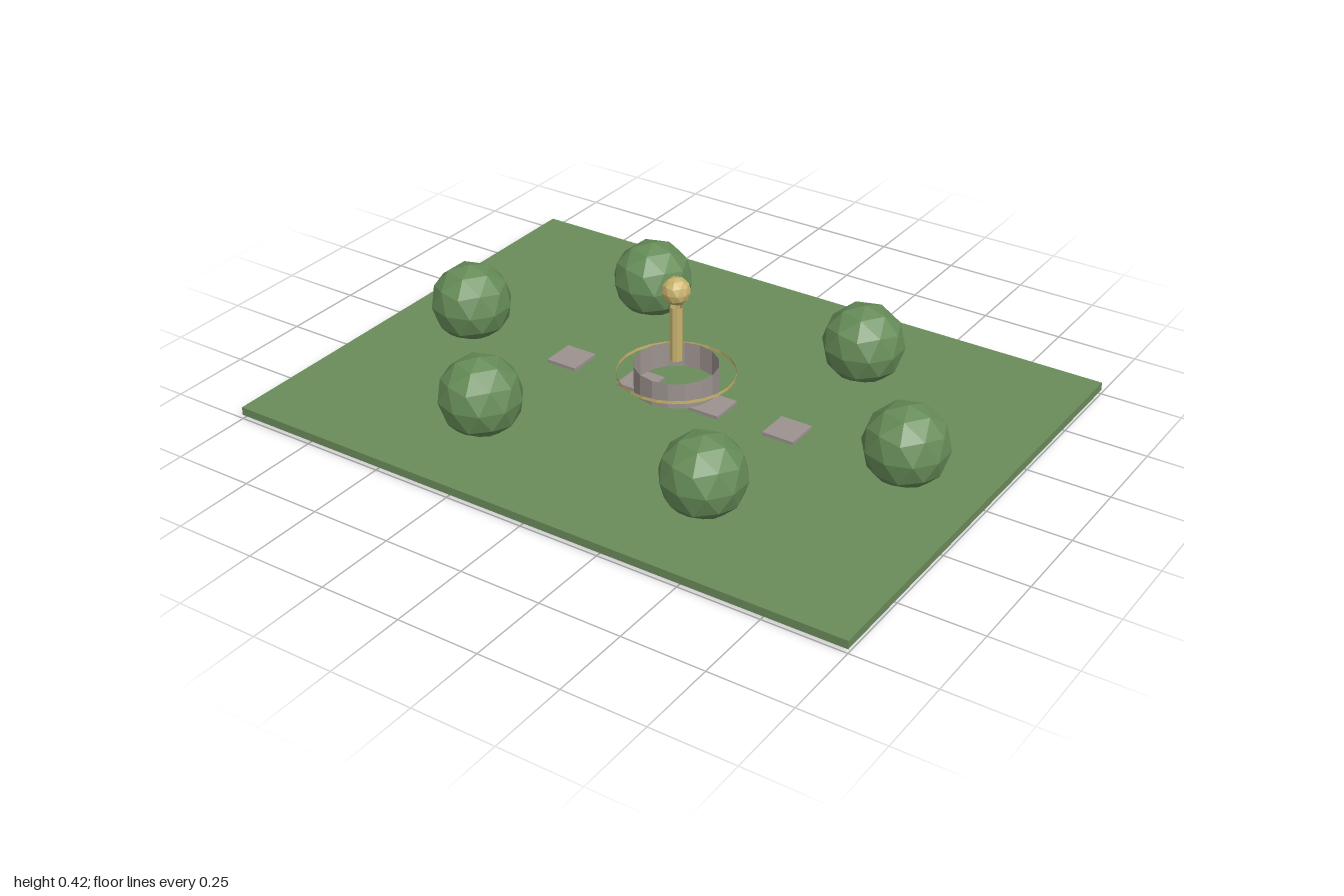
import * as THREE from 'three';

const material = (name, color, extra = {}) => {
  const m = new THREE.MeshStandardMaterial({ color, flatShading: true, ...extra });
  m.name = name;
  return m;
};

// Faceted ball with a vertex at the top and bottom
function ballGeometry(radius) {
  return new THREE.IcosahedronGeometry(radius, 1)
    .rotateX(-Math.atan2((1 + Math.sqrt(5)) / 2, 1))
    .rotateY(Math.PI / 2);
}

// Open-ended tube wall standing between two heights
function wallGeometry(radius, bottom, top, sides) {
  return new THREE.CylinderGeometry(radius, radius, top - bottom, sides, 1, true)
    .translate(0, (bottom + top) / 2, 0);
}

export function createModel() {
  const group = new THREE.Group();
  group.name = 'garden';
  const grass = material('grass green', 0x6b8c5b);
  const leaf = material('leaf green', 0x668c58);
  const stone = material('stone grey', 0x9c938f, { side: THREE.DoubleSide });
  const gold = material('pale gold', 0xc8b36e, { side: THREE.DoubleSide });

  const add = (name, geometry, mat, x = 0, y = 0, z = 0) => {
    const mesh = new THREE.Mesh(geometry, mat);
    mesh.name = name;
    mesh.position.set(x, y, z);
    group.add(mesh);
  };

  // Lawn
  add('lawn', new THREE.BoxGeometry(2, 0.025, 1.5), grass, 0, 0.025, 0);

  // Six bushes spaced around an ellipse
  const bush = ballGeometry(0.125);
  for (let i = 0; i < 6; i++) {
    const a = (i * Math.PI) / 3;
    add('bush', bush, leaf, 0.75 * Math.cos(a), 0.125, 0.5 * Math.sin(a));
  }

  // Row of stepping stones
  const slab = new THREE.BoxGeometry(0.1, 0.0125, 0.105);
  for (const x of [-0.375, -0.125, 0.125, 0.375]) add('steppingStone', slab, stone, x, 0.0415, 0);

  // Fountain: basin wall, thin ring, column and finial
  add('basin', wallGeometry(0.125, 0.064, 0.144, 16), stone);
  add('ring', wallGeometry(0.175, 0.109, 0.119, 24), gold);
  add('column', wallGeometry(0.019, 0.157, 0.328, 8), gold);
  add('finial', ballGeometry(0.0425), gold, 0, 0.378, 0);

  return group;
}
